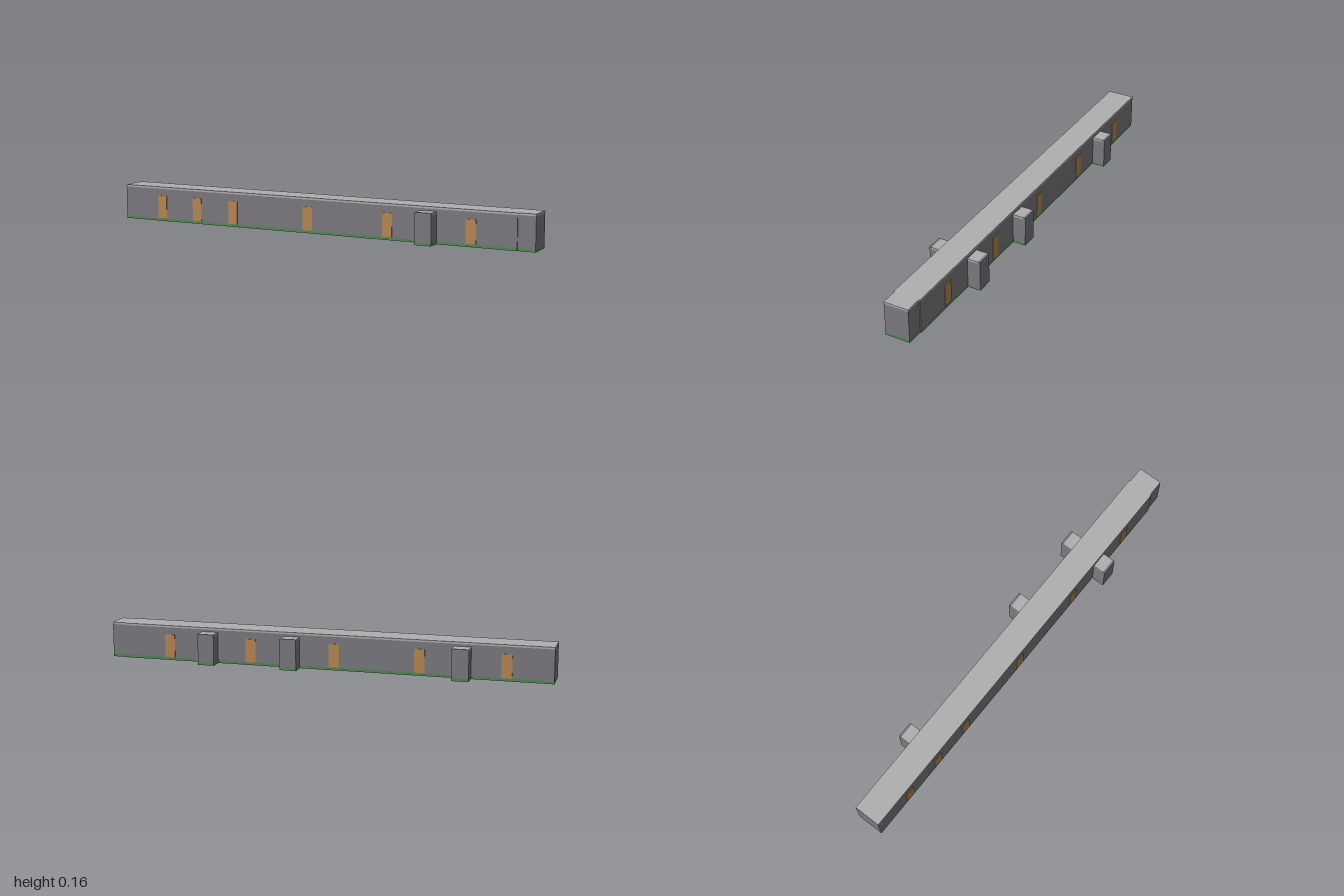
import * as THREE from 'three';

const mat = (name, color) => {
  const m = new THREE.MeshStandardMaterial({ color });
  m.name = name;
  return m;
};

export function createModel() {
  const model = new THREE.Group();
  model.name = 'corridor';
  const wall = mat('wall grey', 0x7d7b80);
  const roof = mat('roof light grey', 0xb0b0b0);
  const floor = mat('floor green', 0x558a5a);
  const door = mat('door tan', 0xb98a55);

  // Box given by its limits on each axis
  const box = (name, material, [x0, x1], [y0, y1], [z0, z1], parent = model) => {
    const mesh = new THREE.Mesh(new THREE.BoxGeometry(x1 - x0, y1 - y0, Math.abs(z1 - z0)), material);
    mesh.position.set((x0 + x1) / 2, (y0 + y1) / 2, (z0 + z1) / 2);
    mesh.name = name;
    parent.add(mesh);
  };

  const floorY = 0.013, eaveY = 0.149, topY = 0.158;

  // Long hall and its slightly narrower end section
  const section = (name, xs, half) => {
    const g = new THREE.Group();
    g.name = name;
    box('floor', floor, xs, [0, floorY], [-half, half], g);
    box('walls', wall, xs, [floorY, eaveY], [-half, half], g);
    box('roof', roof, xs, [eaveY, topY], [-half, half], g);
    model.add(g);
  };
  section('mainHall', [-1, 0.923], 0.061);
  section('endSection', [0.923, 1], 0.056);

  // Side alcoves: a low roof closed by a taller outer wall
  const alcove = (x, side) => {
    const g = new THREE.Group();
    g.name = 'alcove';
    const xs = [x - 0.037, x + 0.037];
    const inner = [side * 0.061, side * 0.11];
    box('alcoveFloor', floor, xs, [0, floorY], [side * 0.061, side * 0.12], g);
    box('alcoveWalls', wall, xs, [floorY, 0.13], inner, g);
    box('alcoveRoof', roof, xs, [0.13, 0.139], inner, g);
    box('alcoveEndWall', wall, xs, [floorY, 0.139], [side * 0.11, side * 0.12], g);
    model.add(g);
  };
  for (const x of [-0.61, 0.15, 0.53]) alcove(x, -1);
  alcove(0.53, 1);

  // Thin door panels along both sides
  const addDoor = (x, side) =>
    box('door', door, [x - 0.023, x + 0.023], [floorY, 0.117], [side * 0.061, side * 0.0635]);
  for (const x of [-0.8, -0.423, -0.043, 0.34, 0.721]) {
    addDoor(x, 1);
    addDoor(x, -1);
  }
  addDoor(-0.612, 1);

  return model;
}
